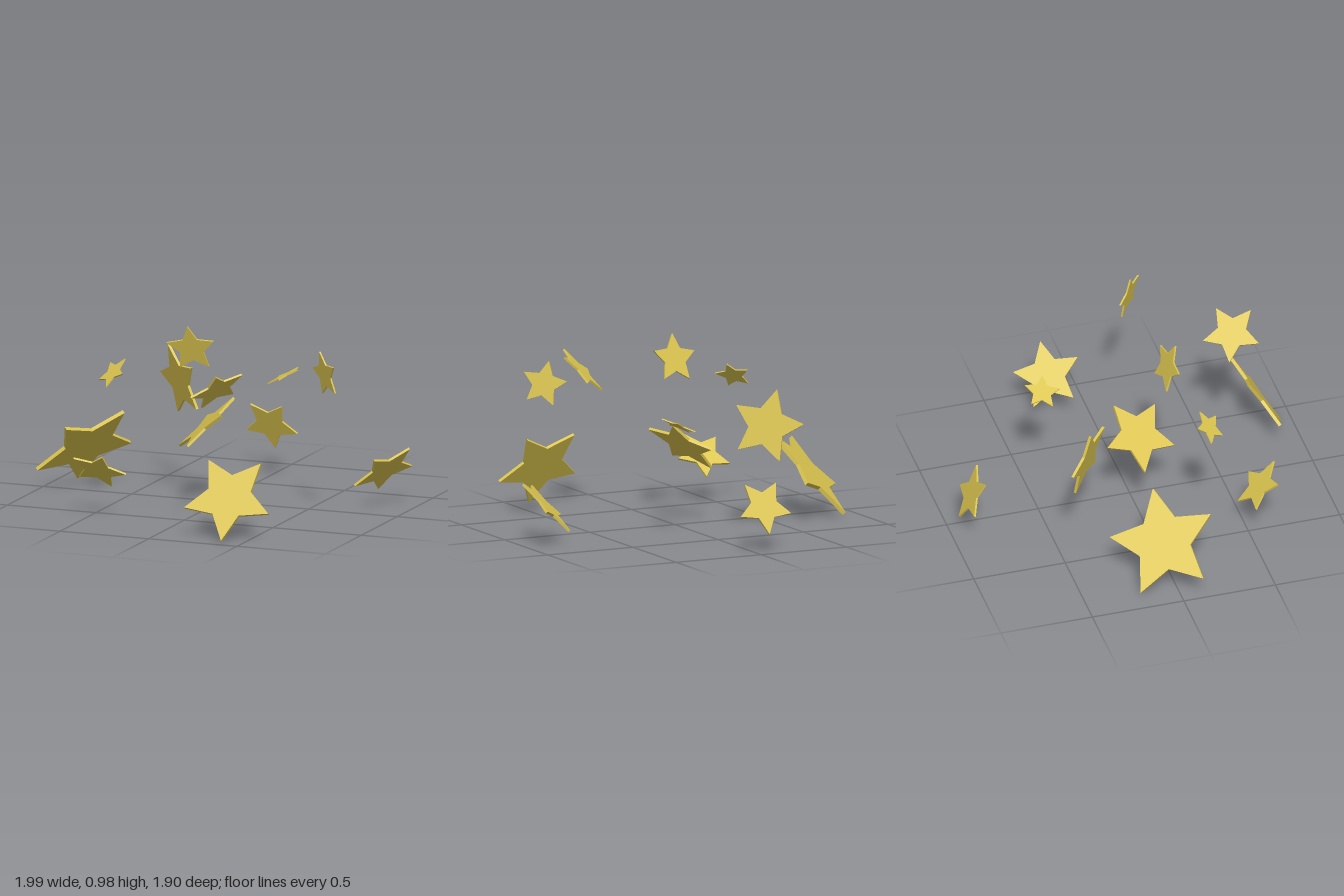
import * as THREE from 'three';

// Each star: centre, offset to one tip, offset to the next tip
const STARS = [
  [[0.377, 0.221, 0.81], [0.008, -0.21, 0.125], [0.233, -0.066, 0.02]],
  [[-0.772, 0.236, -0.042], [0.214, 0.203, 0.005], [-0.016, 0.139, 0.251]],
  [[-0.369, 0.557, -0.342], [-0.059, 0.187, 0], [0.123, 0.096, 0.128]],
  [[-0.075, 0.239, -0.886], [0.003, -0.139, -0.066], [0.144, -0.045, -0.018]],
  [[0.191, 0.614, -0.422], [0.046, 0.031, -0.084], [0.083, 0.039, 0.033]],
  [[0.855, 0.209, -0.194], [0.139, 0.128, 0], [-0.002, 0.075, 0.163]],
  [[-0.067, 0.421, 0.03], [0.118, 0.134, -0.107], [0.131, 0.07, 0.134]],
  [[-0.09, 0.855, 0.18], [-0.006, 0.13, 0.044], [0.123, 0.043, -0.003]],
  [[0.67, 0.78, 0.193], [-0.029, 0.12, 0], [0.079, 0.06, 0.076]],
  [[-0.49, 0.717, 0.29], [0.08, 0.008, 0.058], [0.046, 0.068, -0.043]],
  [[-0.455, 0.253, 0.573], [0.15, -0.011, -0.011], [0.027, -0.102, -0.107]],
  [[0.233, 0.749, 0.627], [0.118, 0.08, -0.046], [0.037, 0.096, 0.128]],
];

// Flat five-pointed star of radius 1, first tip along +x, centred in depth
function starGeometry() {
  const shape = new THREE.Shape();
  for (let i = 0; i < 10; i++) {
    const r = i % 2 ? 0.5 : 1;
    const a = (i * Math.PI) / 5;
    const x = r * Math.cos(a), y = r * Math.sin(a);
    if (i) shape.lineTo(x, y);
    else shape.moveTo(x, y);
  }
  shape.closePath();
  const depth = 0.07;
  const geo = new THREE.ExtrudeGeometry(shape, { depth, bevelEnabled: false });
  return geo.translate(0, 0, -depth / 2);
}

export function createModel() {
  const group = new THREE.Group();
  group.name = 'floatingStars';
  const gold = new THREE.MeshStandardMaterial({ color: 0xddc64f });
  gold.name = 'gold';
  const geometry = starGeometry();

  STARS.forEach(([centre, tip, nextTip], i) => {
    const a = new THREE.Vector3(...tip);
    const b = new THREE.Vector3(...nextTip);
    const radius = (a.length() + b.length()) / 2;
    // Orthonormal frame in the plane of the star
    const xAxis = a.clone().normalize();
    const zAxis = a.clone().cross(b).normalize();
    const yAxis = zAxis.clone().cross(xAxis);

    const star = new THREE.Mesh(geometry, gold);
    star.name = `star${i + 1}`;
    star.position.set(...centre);
    star.quaternion.setFromRotationMatrix(new THREE.Matrix4().makeBasis(xAxis, yAxis, zAxis));
    star.scale.setScalar(radius);
    group.add(star);
  });
  return group;
}
